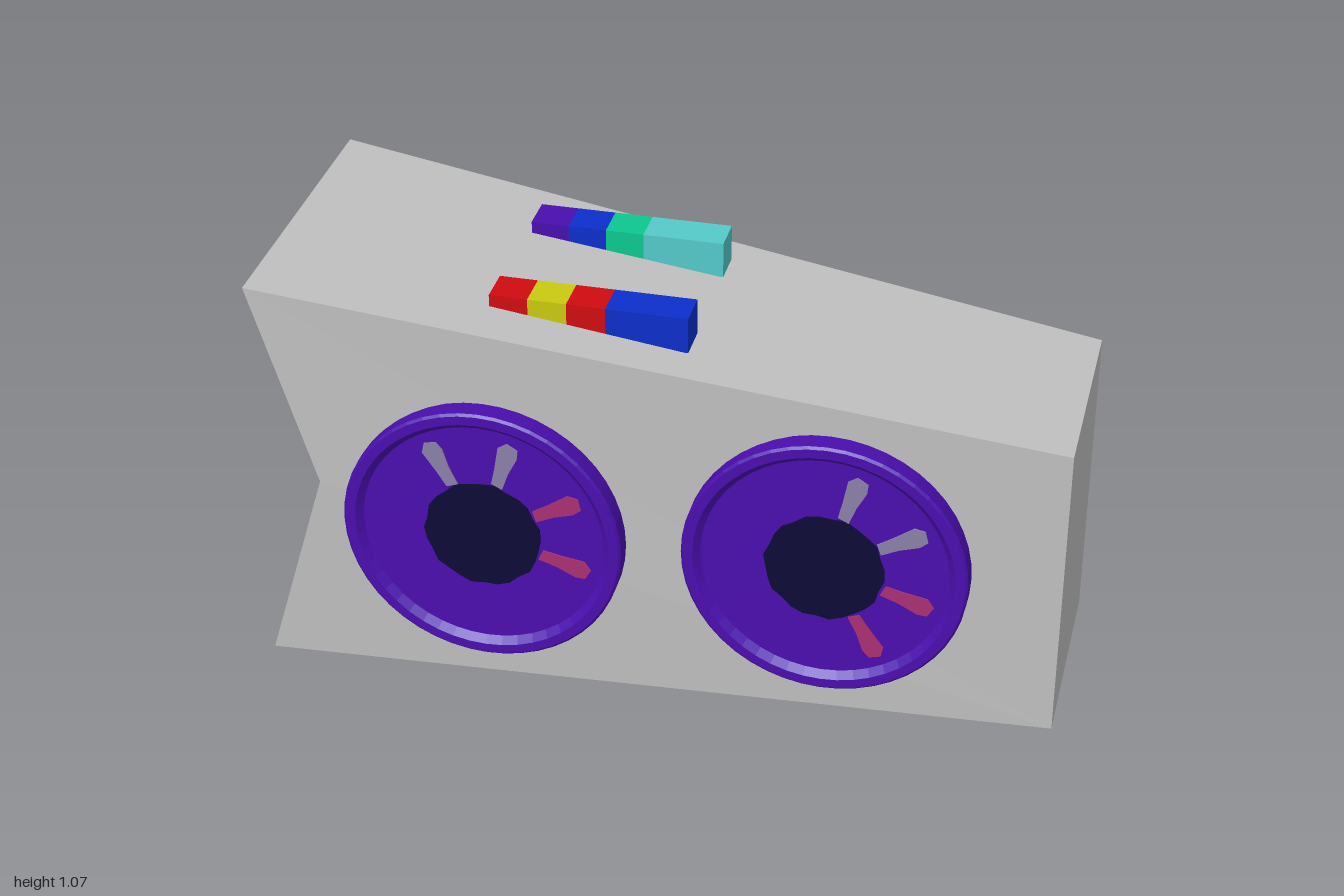
import * as THREE from 'three';

const mat = (name, color) => new THREE.MeshStandardMaterial({ name, color, flatShading: true });

export function createModel() {
  const m = {
    grey: mat('light grey', 0xc0c0c0),
    purple: mat('purple', 0x4a0eae),
    navy: mat('dark navy', 0x0d0b36),
    pale: mat('pale lilac', 0x8a80a8),
    pink: mat('dull pink', 0xaa3072),
    red: mat('red', 0xd00c10),
    yellow: mat('yellow', 0xcaca10),
    blue: mat('blue', 0x0c2fcc),
    teal: mat('turquoise', 0x55caca),
    green: mat('green', 0x0cc890),
  };
  const model = new THREE.Group();
  const add = (parent, name, geometry, material) => {
    const mesh = new THREE.Mesh(geometry, material);
    mesh.name = name;
    parent.add(mesh);
    return mesh;
  };
  const shapeOf = (pts) => new THREE.Shape(pts.map(([x, y]) => new THREE.Vector2(x, y)));

  // Cabinet: notched outline, tapering in depth towards +x
  const body = new THREE.ExtrudeGeometry(
    shapeOf([[-1, 0], [1, 0], [1, 0.805], [-1, 1.067], [-0.84, 0.535]]),
    { depth: 1, bevelEnabled: false });
  const pos = body.attributes.position;
  for (let i = 0; i < pos.count; i++) {
    const narrow = pos.getX(i) > 0;
    const front = pos.getZ(i) > 0.5;
    pos.setZ(i, front ? (narrow ? 0.262 : 0.385) : (narrow ? -0.292 : -0.415));
  }
  body.computeVertexNormals();
  add(model, 'cabinet', body, m.grey);

  // Speakers: rimmed dish, dark centre cap and four painted streaks
  const dish = new THREE.LatheGeometry(
    [[0, -0.063], [0.346, -0.063], [0.355, -0.055], [0.355, -0.006], [0.349, 0], [0.325, 0],
      [0.308, -0.018], [0, -0.018]].map(([r, y]) => new THREE.Vector2(r, y)), 48);
  dish.rotateX(Math.PI / 2);

  const capOutline = [];
  for (let i = 0; i < 28; i++) {
    const a = (i / 28) * Math.PI * 2;
    const r = 0.148 + 0.004 * Math.sin(i * 2.3);
    capOutline.push([r * Math.cos(a), r * Math.sin(a)]);
  }
  const plate = { depth: 0.004, bevelEnabled: false };
  const cap = new THREE.ExtrudeGeometry(shapeOf(capOutline), plate);
  const streak = new THREE.ExtrudeGeometry(shapeOf([
    [0.15, -0.014], [0.2, -0.017], [0.25, -0.027], [0.275, -0.022],
    [0.283, 0.008], [0.262, 0.026], [0.2, 0.019], [0.155, 0.016]]), plate);

  const addSpeaker = (name, x, z, turn) => {
    const speaker = new THREE.Group();
    speaker.name = name;
    speaker.position.set(x, 0.45, z);
    speaker.rotation.z = THREE.MathUtils.degToRad(turn);
    add(speaker, 'dish', dish, m.purple);
    add(speaker, 'centreCap', cap, m.navy).position.z = -0.018;
    [[118, m.pale], [74, m.pale], [28, m.pink], [-15, m.pink]].forEach(([deg, material]) => {
      const s = add(speaker, 'streak', streak, material);
      s.rotation.z = THREE.MathUtils.degToRad(deg);
      s.position.z = -0.0185;
    });
    model.add(speaker);
  };
  addSpeaker('rightSpeaker', -0.42, 0.41, 0);
  addSpeaker('leftSpeaker', 0.427, 0.357, -45);

  // Two rows of coloured blocks sunk into the sloping top
  const edges = [-0.438, -0.342, -0.245, -0.148, 0.057];
  const addRow = (name, z, colours) => {
    const row = new THREE.Group();
    row.name = name;
    colours.forEach((material, i) => {
      const w = edges[i + 1] - edges[i];
      add(row, 'block', new THREE.BoxGeometry(w, 0.095, 0.096), material)
        .position.set(edges[i] + w / 2, 0.977, z);
    });
    model.add(row);
  };
  addRow('frontBlocks', 0.162, [m.red, m.yellow, m.red, m.blue]);
  addRow('backBlocks', -0.216, [m.purple, m.blue, m.green, m.teal]);

  return model;
}
